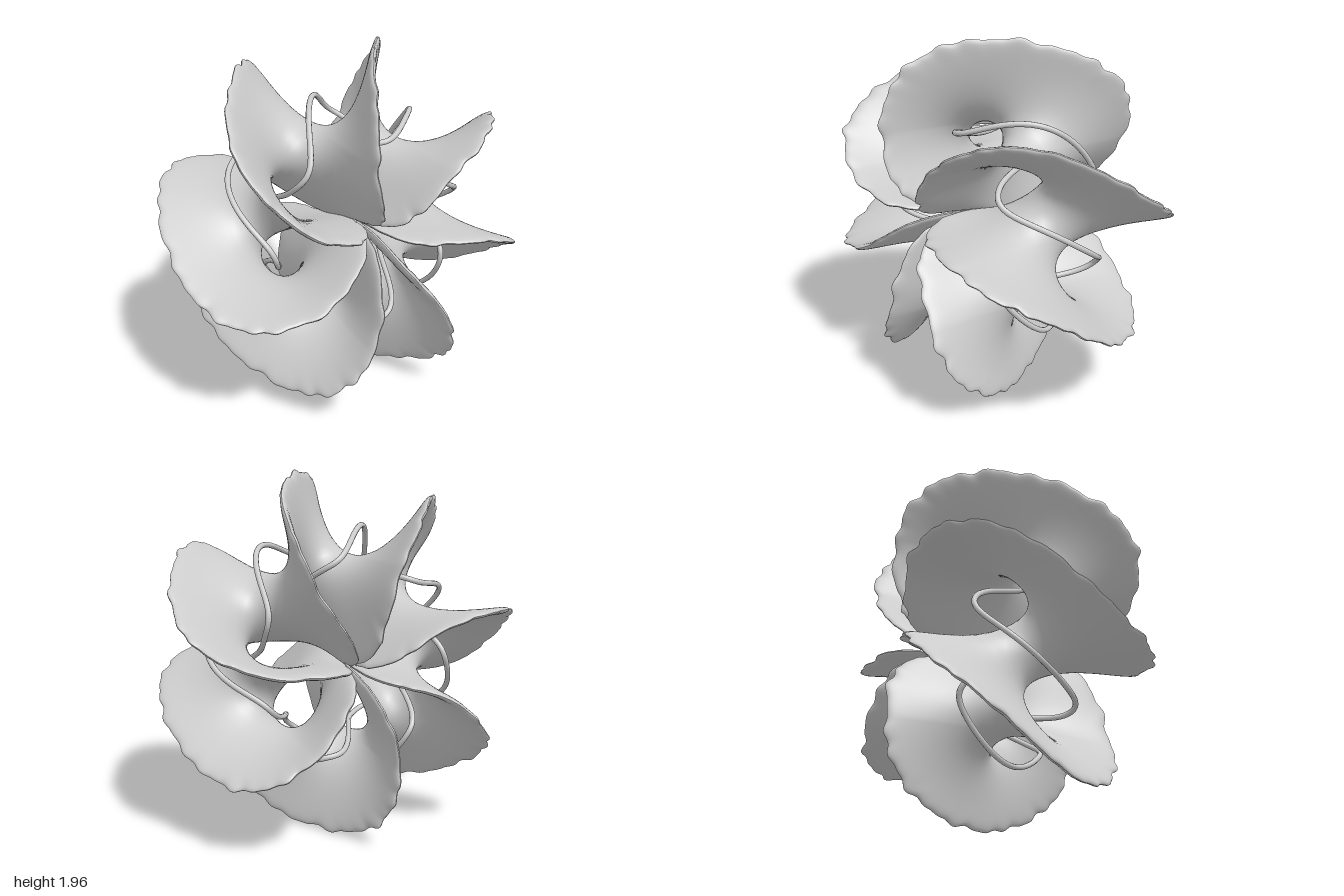
import * as THREE from 'three';

const FOLDS = 7;                       // half twists in one lap of the ring
const CORE = 0.52;                     // radius of the circle the ribbon twists about
const PHASE = 77.1 * Math.PI / 180;    // direction of the first blade tip
const LAPS = Math.PI * 4;              // the one-sided ribbon closes after two laps

// Point at ring angle a, distance r from the z axis; the hub leans up in front, down behind
function ringPoint(a, r, z) {
  const lean = 0.07 * Math.pow(Math.max(0, 1 - r / 0.45), 2) * Math.tanh(4 * z);
  return new THREE.Vector3(r * Math.cos(a), 1.005 + r * Math.sin(a) + lean, z);
}

// Small irregular ruffle along the single continuous edge (e runs 0..4 PI)
function ruffle(e) {
  return 0.010 * Math.sin(e * 75.5) + 0.008 * Math.sin(e * 47 + 1) + 0.007 * Math.sin(e * 116.5 + 2);
}

// Middle of the ribbon: s runs across it from edge to edge, a runs round the ring
function ribbonPoint(s, a) {
  const psi = FOLDS * (a - PHASE) / 2 + (s < 0 ? Math.PI : 0);
  const t = Math.abs(s), c = Math.cos(psi), x = Math.abs(c);
  const edge = a + (s < 0 ? Math.PI * 2 : 0);
  // rim: slightly squarer than an ellipse, flattest toward the hub
  const square = (c > 0 ? 0.35 : 0.8) * THREE.MathUtils.smoothstep(t, 0.2, 1);
  const u = (c > 0 ? 0.472 : -0.51) * (x + square * x * (1 - x));
  const wave = 1 + ruffle(edge) * THREE.MathUtils.smoothstep(t, 0.75, 1) * (c > -0.5 ? 1.2 : 0.3);
  const r = Math.max(CORE + u * t * wave, 0.012);
  // inner edges swing together so that neighbouring fins join at the hub
  const swing = t * t * Math.sin(2 * psi) * (c > 0 ? 0.07 : 0.4) * x;
  return ringPoint(a + swing, r, 0.635 * Math.sin(psi) * t * wave);
}

// Twisted ribbon: both faces come from one sheet going round twice
function ribbonGeometry(across, along) {
  const pos = [], index = [], h = 1e-3;
  for (let j = 0; j < along; j++) {
    const a = j / along * LAPS;
    for (let i = 0; i <= across; i++) {
      const s = Math.sin((i / across - 0.5) * Math.PI);
      const k = THREE.MathUtils.clamp(s, -0.97, 0.97);
      const ds = ribbonPoint(k + h, a).sub(ribbonPoint(k - h, a));
      const da = ribbonPoint(k, a + h).sub(ribbonPoint(k, a - h));
      const n = da.cross(ds).normalize();
      const thick = 0.02 * Math.sqrt(Math.max(0, 1 - Math.pow(s, 20)));
      pos.push(...ribbonPoint(s, a).addScaledVector(n, thick).toArray());
      if (i < across) {
        const p = j * (across + 1) + i, q = ((j + 1) % along) * (across + 1) + i;
        index.push(p, q, p + 1, p + 1, q, q + 1);
      }
    }
  }
  const g = new THREE.BufferGeometry();
  g.setAttribute('position', new THREE.Float32BufferAttribute(pos, 3));
  g.setIndex(index);
  g.computeVertexNormals();
  return g;
}

// Closed wire winding seven times round the core in two laps
class WireCurve extends THREE.Curve {
  getPoint(t, target = new THREE.Vector3()) {
    const a = t * LAPS, psi = FOLDS * a / 2;
    const r = 0.55 + 0.115 * Math.cos(psi) + 0.025 * Math.cos(2 * psi) + 0.018 * Math.cos(3 * psi);
    return target.copy(ringPoint(a + 0.02, r, 0.315 * Math.sin(psi)));
  }
}

export function createModel() {
  const group = new THREE.Group();
  const material = new THREE.MeshStandardMaterial({ color: 0xcccccc, side: THREE.DoubleSide });

  const ribbon = new THREE.Mesh(ribbonGeometry(30, 1680), material);
  ribbon.name = 'twistedBladeRibbon';
  group.add(ribbon);

  const wire = new THREE.Mesh(new THREE.TubeGeometry(new WireCurve(), 500, 0.015, 10, true), material);
  wire.name = 'windingWire';
  group.add(wire);
  return group;
}
